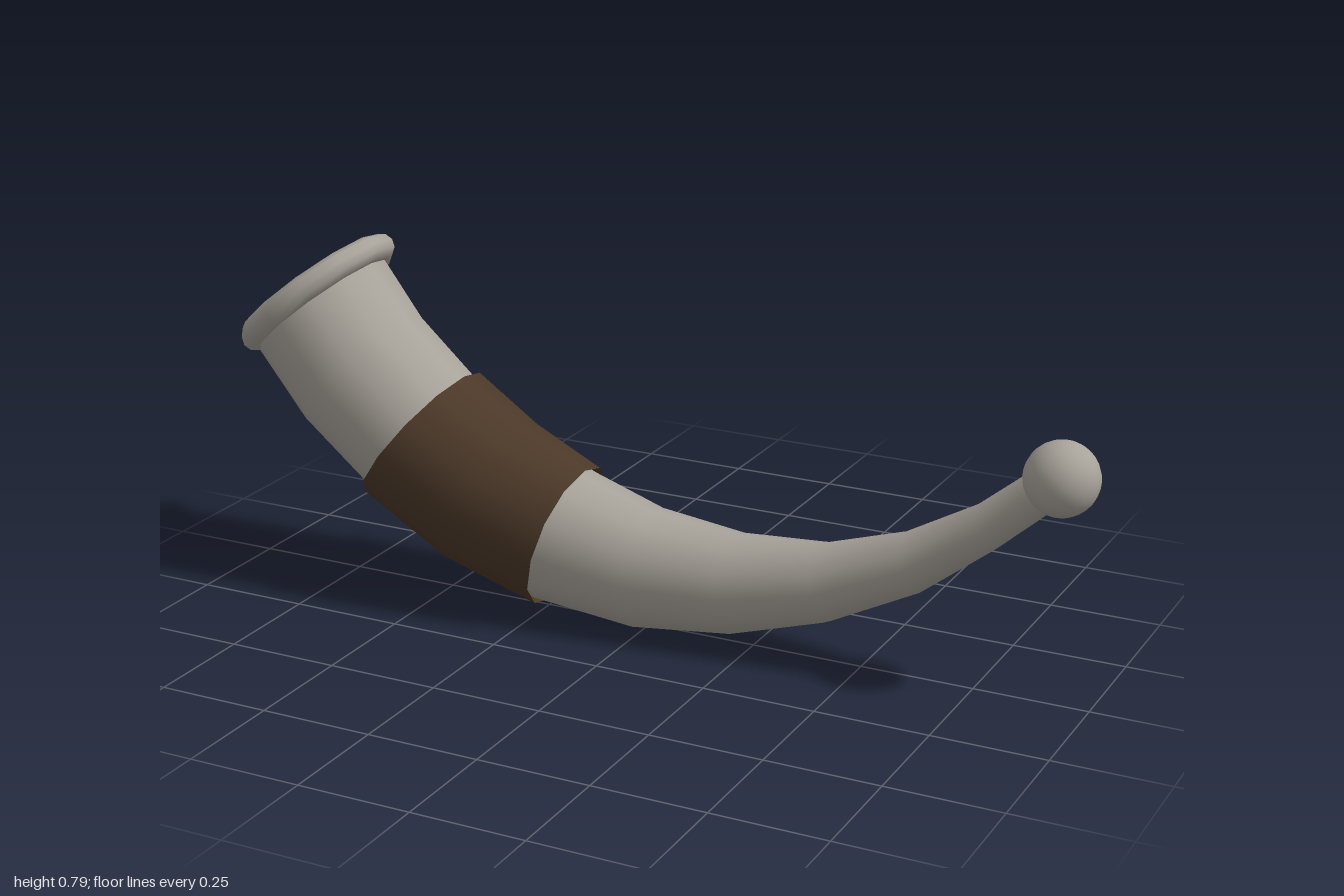
import * as THREE from 'three';

const SIDES = 12;

// Skin a tube through rings, each given by its top and bottom point in the xy plane
function ringTube(rings) {
  const pos = [], index = [];
  rings.forEach(([tx, ty, bx, by], i) => {
    const cx = (tx + bx) / 2, cy = (ty + by) / 2;
    const ux = (tx - bx) / 2, uy = (ty - by) / 2, r = Math.hypot(ux, uy);
    for (let j = 0; j < SIDES; j++) {
      const a = (j / SIDES) * Math.PI * 2, c = Math.cos(a);
      pos.push(cx + ux * c, cy + uy * c, r * Math.sin(a));
      if (i === rings.length - 1) continue;
      const k = (j + 1) % SIDES, p = i * SIDES, q = p + SIDES;
      index.push(p + j, p + k, q + j, q + j, p + k, q + k);
    }
  });
  const g = new THREE.BufferGeometry();
  g.setAttribute('position', new THREE.Float32BufferAttribute(pos, 3));
  g.setIndex(index);
  g.computeVertexNormals();
  return g;
}

export function createModel() {
  const group = new THREE.Group();
  const horn = new THREE.MeshStandardMaterial({ name: 'horn grey', color: 0xa8a39a, side: THREE.DoubleSide });
  const leather = new THREE.MeshStandardMaterial({ name: 'leather brown', color: 0x4b3828, side: THREE.DoubleSide });
  const add = (name, geometry, material) => {
    const mesh = new THREE.Mesh(geometry, material);
    mesh.name = name;
    group.add(mesh);
    return mesh;
  };

  // Curved hollow horn, from the wide mouth to the thin tip
  add('hornBody', ringTube([
    [-0.706, 0.755, -0.97, 0.53],
    [-0.60, 0.615, -0.838, 0.365],
    [-0.465, 0.495, -0.672, 0.228],
    [-0.322, 0.395, -0.468, 0.105],
    [-0.165, 0.325, -0.25, 0.03],
    [0, 0.272, -0.01, 0.004],
    [0.20, 0.25, 0.22, 0.03],
    [0.40, 0.265, 0.43, 0.095],
    [0.59, 0.325, 0.625, 0.195],
    [0.745, 0.412, 0.785, 0.32],
    [0.87, 0.515, 0.925, 0.445],
  ]), horn);

  // Leather wrap around the middle
  add('gripBand', ringTube([
    [-0.457, 0.508, -0.683, 0.216],
    [-0.315, 0.412, -0.478, 0.092],
    [-0.158, 0.336, -0.248, 0.018],
  ]), leather);

  // Rounded rim of the mouth, tilted square to the horn's axis
  const rim = add('mouthRim', new THREE.TorusGeometry(0.175, 0.03, 10, SIDES)
    .rotateX(Math.PI / 2), horn);
  rim.position.set(-0.833, 0.652, 0);
  rim.rotation.z = Math.atan2(0.225, 0.265);

  // Ball at the tip
  add('tipBall', new THREE.SphereGeometry(0.0785, 24, 16), horn).position.set(0.916, 0.494, 0);

  return group;
}
